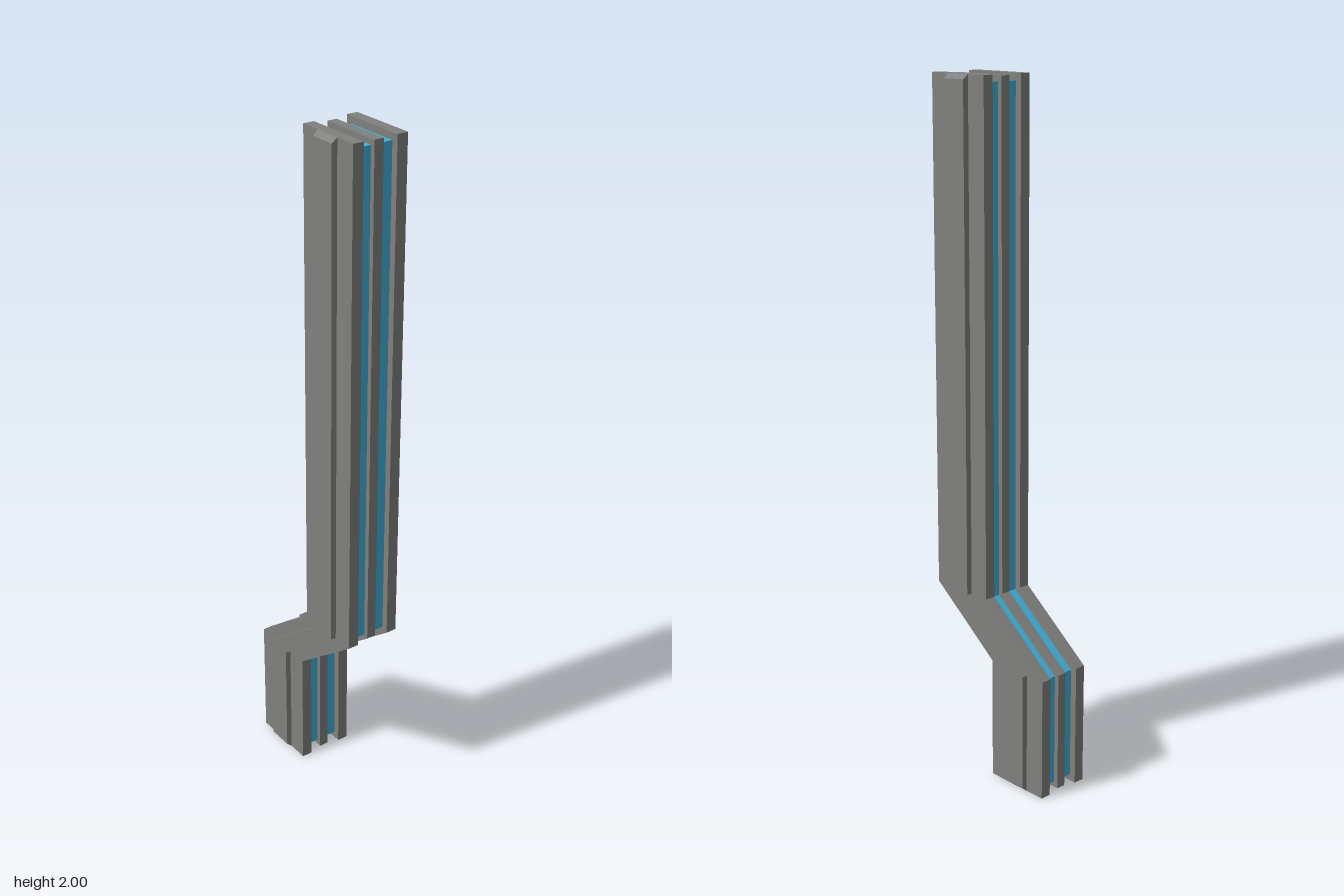
import * as THREE from 'three';

const LOW = 0.36, HIGH = 0.54; // heights of the two bends

// Z-bent strip outline; dy lowers the left bends and raises the right ones
function outline(left, right, shift, y0, y1, dy = 0) {
  return new THREE.Shape([
    [left, y0], [right, y0], [right, LOW + dy], [right + shift, HIGH + dy],
    [right + shift, y1], [left + shift, y1], [left + shift, HIGH - dy], [left, LOW - dy],
  ].map(([x, y]) => new THREE.Vector2(x, y)));
}

// Outer strip profile inset evenly on all sides
const insetOutline = (d, end = d) => outline(-0.219 + d, -0.014 - d, 0.231, end, 2 - end, d * 0.49);

function strip(name, shape, z0, z1, material) {
  const geo = new THREE.ExtrudeGeometry(shape, { depth: z1 - z0, bevelEnabled: false });
  geo.translate(0, 0, z0);
  const mesh = new THREE.Mesh(geo, material);
  mesh.name = name;
  return mesh;
}

// Raised rib whose outward face has chamfered ends and slightly tapered sides
function rib(name, z0, z1, outerZ, material) {
  const mesh = strip(name, outline(-0.157, -0.076, 0.23, 0, 2), z0, z1, material);
  const p = mesh.geometry.attributes.position;
  for (let i = 0; i < p.count; i++) {
    if (Math.abs(p.getZ(i) - outerZ) > 0.001) continue;
    const y = p.getY(i);
    const c = y < 0.45 ? -0.1165 : 0.1135;
    p.setX(i, c + (p.getX(i) - c) * 0.94);
    p.setY(i, THREE.MathUtils.clamp(y, 0.013, 1.987));
  }
  mesh.geometry.computeVertexNormals();
  return mesh;
}

export function createModel() {
  const grey = new THREE.MeshStandardMaterial({ color: 0x80807e });
  grey.name = 'grey metal';
  const blue = new THREE.MeshStandardMaterial({ color: 0x3fb0d8 });
  blue.name = 'blue core';

  const group = new THREE.Group();
  group.name = 'bentLayeredBar';
  group.add(
    // grey plates
    strip('frontPlate', insetOutline(0), 0.05, 0.082, grey),
    strip('middlePlate', insetOutline(0.006, 0.004), -0.015, 0.013, grey),
    strip('backPlate', insetOutline(0), -0.084, -0.052, grey),
    // recessed blue layers
    strip('frontCore', insetOutline(0.02), 0.013, 0.05, blue),
    strip('backCore', insetOutline(0.02), -0.052, -0.015, blue),
    // raised centre ribs
    rib('frontRib', 0.082, 0.097, 0.097, grey),
    rib('backRib', -0.099, -0.084, -0.099, grey),
  );
  return group;
}
